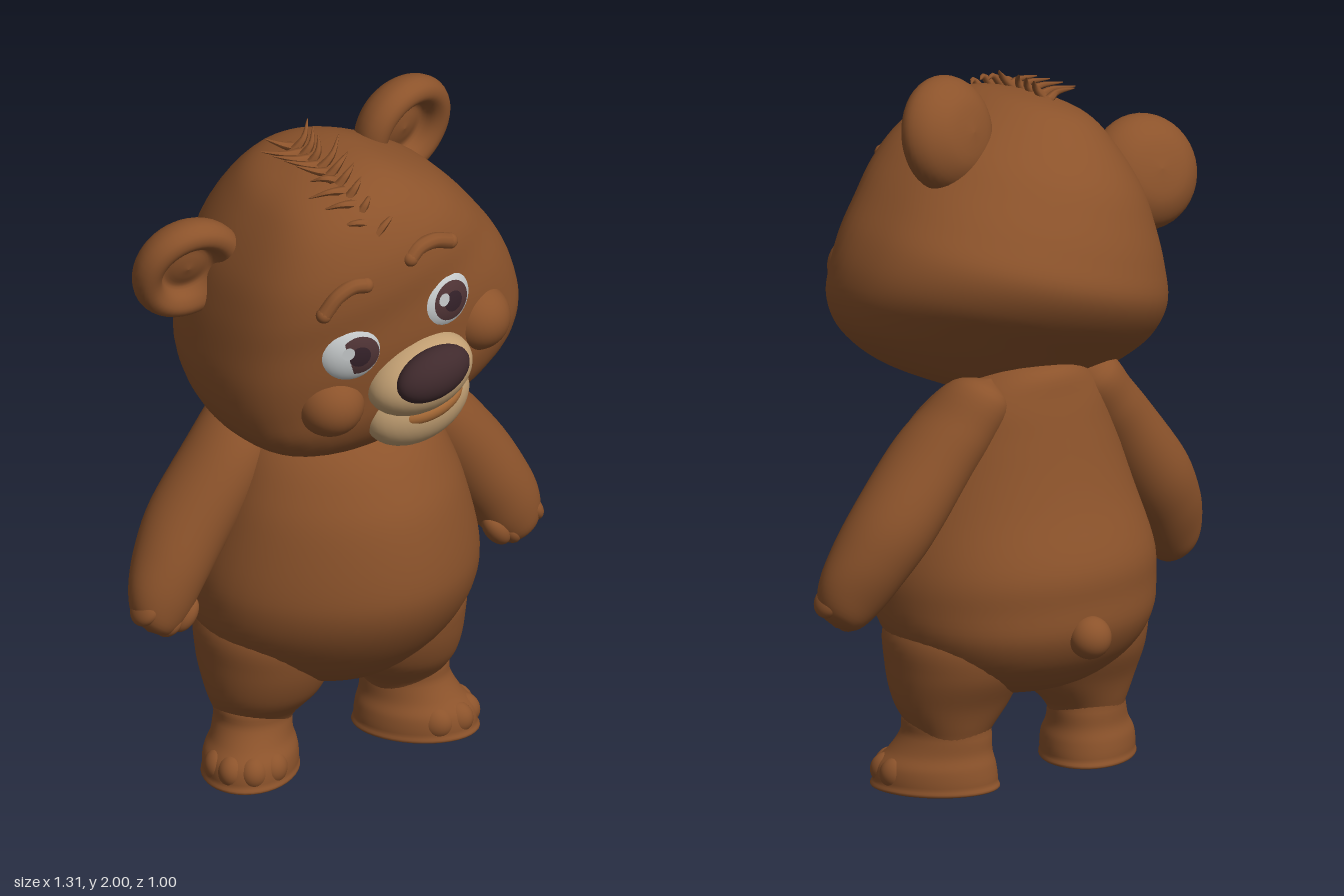
import * as THREE from 'three';

const mat = (name, color) => {
  const m = new THREE.MeshStandardMaterial({ color });
  m.name = name;
  return m;
};

// Closed loft through rings [y, cx, cz, rx, rz], listed from bottom to top;
// front and back widen (+) or narrow (-) each half of the ellipse
function loft(rings, { rows = 40, cols = 40, front = 0, back = 0 } = {}) {
  const centre = new THREE.CatmullRomCurve3(rings.map(r => new THREE.Vector3(r[1], r[0], r[2])), false, 'catmullrom');
  const radius = new THREE.CatmullRomCurve3(rings.map(r => new THREE.Vector3(r[3], 0, r[4])), false, 'catmullrom');
  const pos = [], idx = [];
  for (let i = 0; i <= rows; i++) {
    const c = centre.getPoint(i / rows), r = radius.getPoint(i / rows);
    for (let j = 0; j < cols; j++) {
      const a = (j / cols) * Math.PI * 2, s = Math.sin(a);
      const widen = 1 + (s > 0 ? front : back) * s * s;
      pos.push(c.x + Math.max(r.x, 1e-4) * Math.cos(a) * widen, c.y, c.z + Math.max(r.z, 1e-4) * s);
      if (i === rows) continue;
      const p = i * cols + j, q = i * cols + (j + 1) % cols;
      idx.push(p, p + cols, q, q, p + cols, q + cols);
    }
  }
  const g = new THREE.BufferGeometry();
  g.setAttribute('position', new THREE.Float32BufferAttribute(pos, 3));
  g.setIndex(idx);
  g.computeVertexNormals();
  return g;
}

export function createModel() {
  const fur = mat('brown fur', 0x8c532b);
  const cream = mat('cream muzzle', 0xc4a174);
  const noseMat = mat('dark nose', 0x402a2d);
  const mouthMat = mat('orange mouth', 0xb0703a);
  const white = mat('eye white', 0xc6cacb);
  const irisMat = mat('brown iris', 0x503436);
  const pupilMat = mat('dark pupil', 0x35222a);

  const bear = new THREE.Group();
  bear.name = 'bear';
  const add = (parent, name, geo, material, p = [0, 0, 0]) => {
    const m = new THREE.Mesh(geo, material);
    m.name = name;
    m.position.set(...p);
    parent.add(m);
    return m;
  };
  const group = (parent, name, p) => {
    const g = new THREE.Group();
    g.name = name;
    g.position.set(...p);
    parent.add(g);
    return g;
  };
  const ball = (parent, name, material, p, s) =>
    add(parent, name, new THREE.SphereGeometry(1, 32, 24).scale(...s), material, p);

  // Torso and tail
  add(bear, 'body', loft([
    [0.25, 0, -0.1, 0, 0], [0.275, 0, -0.1, 0.19, 0.17], [0.35, 0, -0.1, 0.325, 0.275],
    [0.45, 0, -0.09, 0.393, 0.347], [0.55, 0, -0.07, 0.411, 0.375], [0.65, 0, -0.065, 0.403, 0.378],
    [0.8, 0, -0.05, 0.36, 0.34], [0.9, 0, -0.055, 0.325, 0.305], [1, 0, -0.075, 0.285, 0.26],
    [1.1, 0, -0.12, 0.23, 0.19], [1.18, 0, -0.17, 0.12, 0.11], [1.2, 0, -0.18, 0, 0],
  ], { rows: 55, cols: 48, front: -0.13, back: 0.08 }), fur);
  ball(bear, 'tail', fur, [0.01, 0.46, -0.445], [0.06, 0.06, 0.058]);

  for (const s of [1, -1]) {
    const side = s > 0 ? 'left' : 'right';

    // Leg
    add(bear, side + 'Leg', loft([
      [0.08, s * 0.24, -0.11, 0, 0], [0.1, s * 0.24, -0.11, 0.08, 0.08], [0.17, s * 0.233, -0.11, 0.115, 0.112],
      [0.25, s * 0.217, -0.095, 0.165, 0.16], [0.35, s * 0.21, -0.1, 0.186, 0.205],
      [0.45, s * 0.205, -0.1, 0.187, 0.215], [0.55, s * 0.18, -0.1, 0.14, 0.16], [0.6, s * 0.18, -0.1, 0, 0],
    ]), fur);

    // Flat-soled foot turned outward, with softly marked toes
    const foot = group(bear, side + 'Foot', [s * 0.265, 0, -0.083]);
    foot.rotation.y = s * 0.75;
    add(foot, side + 'FootPad', loft([
      [0, 0, 0, 0, 0], [0, 0, 0, 0.122, 0.164], [0.025, 0, 0, 0.131, 0.173], [0.07, 0, -0.002, 0.128, 0.166],
      [0.11, 0, -0.015, 0.113, 0.143], [0.16, 0, -0.03, 0.107, 0.126], [0.22, 0, -0.03, 0.1, 0.11], [0.26, 0, -0.03, 0, 0],
    ]), fur);
    [-0.95, -0.35, 0.25, 0.8].forEach((a, i) =>
      ball(foot, side + 'Toe' + (i + 1), fur, [s * 0.095 * Math.sin(a), 0.05, 0.122 * Math.cos(a) + 0.008], [0.042, 0.048, 0.05]));

    // Arm hanging outward, with a blunt mitten hand, finger bumps and thumb
    const arm = group(bear, side + 'Arm', [s * 0.2, 1.1, -0.15]);
    arm.rotation.z = s * 0.61;
    add(arm, side + 'ArmLimb', loft([
      [-0.715, -s * 0.01, 0.08, 0, 0], [-0.695, -s * 0.005, 0.08, 0.06, 0.055], [-0.63, 0.005 * s, 0.07, 0.096, 0.084],
      [-0.53, s * 0.015, 0.05, 0.109, 0.109], [-0.4, s * 0.017, 0.03, 0.116, 0.124], [-0.2, s * 0.008, 0.02, 0.11, 0.128],
      [-0.08, 0, 0, 0.1, 0.12], [0.03, 0, -0.03, 0.08, 0.09], [0.08, 0, -0.04, 0, 0],
    ]), fur);
    [-0.045, 0, 0.045].forEach((x, i) =>
      ball(arm, side + 'Finger' + (i + 1), fur, [x, -0.66, 0.088], [0.03, 0.05, 0.052]));
    ball(arm, side + 'Thumb', fur, [-s * 0.07, -0.625, 0.105], [0.033, 0.055, 0.038]);
  }

  // Head, tipped to one side, full in the face
  const head = group(bear, 'head', [-0.02, 1.42, 0]);
  head.rotation.z = 0.297;
  add(head, 'skull', loft([
    [-0.365, 0, 0.06, 0, 0], [-0.335, 0, 0.06, 0.22, 0.16], [-0.27, 0, 0.045, 0.375, 0.245],
    [-0.19, 0, 0.015, 0.448, 0.315], [-0.1, 0, -0.03, 0.473, 0.375], [0, 0, -0.052, 0.465, 0.41],
    [0.1, 0, -0.041, 0.43, 0.401], [0.2, 0, -0.018, 0.383, 0.384], [0.3, 0, 0, 0.32, 0.348],
    [0.4, 0, 0.02, 0.222, 0.272], [0.46, 0, 0.02, 0.13, 0.17], [0.485, 0, 0.02, 0, 0],
  ], { rows: 60, cols: 56, front: 0.32 }), fur);

  // Muzzle, nose and open mouth
  ball(head, 'upperMuzzle', cream, [0, -0.108, 0.348], [0.16, 0.1, 0.122]);
  ball(head, 'lowerJaw', cream, [-0.01, -0.222, 0.295], [0.163, 0.115, 0.1]);
  ball(head, 'mouth', mouthMat, [0, -0.21, 0.343], [0.11, 0.048, 0.063]);
  ball(head, 'nose', noseMat, [0.002, -0.07, 0.438], [0.114, 0.071, 0.062]);

  // Front cap of a unit sphere, for the layers of the eye
  const cap = (angle, size) => new THREE.SphereGeometry(1, 28, 10, 0, Math.PI * 2, 0, angle)
    .rotateX(Math.PI / 2).scale(0.1 * size, 0.095 * size, 0.06 * size);

  // Dished round ear profile with a thick rim
  const earProfile = new THREE.SplineCurve([
    [0, -0.085], [0.085, -0.072], [0.14, -0.033], [0.161, 0.015], [0.149, 0.053], [0.12, 0.064],
    [0.092, 0.048], [0.072, 0.015], [0.035, 0.02], [0, 0.026],
  ].map(p => new THREE.Vector2(...p))).getPoints(36).map(p => new THREE.Vector2(Math.max(p.x, 0), p.y));

  for (const s of [1, -1]) {
    const side = s > 0 ? 'left' : 'right';
    ball(head, side + 'Cheek', fur, [s * 0.245, -0.1, 0.265], [0.096, 0.094, 0.1]);

    // Eye
    const eye = group(head, side + 'Eye', [s * 0.152 - 0.009, 0.052, 0.304]);
    eye.rotation.y = s * 0.2;
    ball(eye, side + 'Eyeball', white, [0, 0, 0], [0.1, 0.095, 0.06]);
    const iris = group(eye, side + 'Gaze', [s > 0 ? 0 : 0.014, 0, 0]);
    add(iris, side + 'Iris', cap(0.62, 1.03), irisMat);
    add(iris, side + 'Pupil', cap(0.3, 1.06), pupilMat);
    add(iris, side + 'Glint', new THREE.CircleGeometry(0.019, 16), white, [-0.03, 0.026, 0.065]);

    // Eyebrow
    const browPath = new THREE.CatmullRomCurve3([[0.075, 0.243, 0.353], [0.11, 0.256, 0.348], [0.16, 0.248, 0.342], [0.212, 0.212, 0.333]]
      .map(([x, y, z]) => new THREE.Vector3(s * x, y, z)));
    add(head, side + 'Brow', new THREE.TubeGeometry(browPath, 20, 0.022, 10), fur);
    for (const t of [0, 1]) ball(head, side + 'BrowEnd', fur, browPath.getPoint(t).toArray(), [0.022, 0.022, 0.022]);

    // Ear
    const ear = add(head, side + 'Ear', new THREE.LatheGeometry(earProfile, 40).rotateX(Math.PI / 2), fur,
      s > 0 ? [0.34, 0.342, -0.075] : [-0.397, 0.32, -0.055]);
    ear.rotation.set(0.28, s * 0.18, 0);
  }

  // Tuft of thin locks running from crown to forehead
  const tuft = group(head, 'hairTuft', [0.01, 0, 0]);
  for (let i = 0; i < 18; i++) {
    const z = -0.06 + i * 0.022, dir = i % 2 ? 1 : -1;
    const y = 0.485 * Math.cbrt(1 - Math.abs(z / 0.365) ** 3.2);
    const reach = 0.055 + 0.04 * ((i * 7) % 5) / 4;
    const lock = new THREE.CatmullRomCurve3([
      new THREE.Vector3(0, y - 0.012, z),
      new THREE.Vector3(dir * reach * 0.45, y + 0.012, z + 0.005),
      new THREE.Vector3(dir * reach, y + 0.005 + (z < 0.12 ? 0.03 : 0), z - 0.03),
    ]);
    const g = new THREE.TubeGeometry(lock, 8, 0.015, 6);
    const pos = g.attributes.position;
    // taper each lock towards its tip
    for (let k = 0; k < pos.count; k++) {
      const t = Math.floor(k / 7) / 8, c = lock.getPointAt(t);
      const v = new THREE.Vector3().fromBufferAttribute(pos, k).sub(c).multiplyScalar(1 - 0.9 * t).add(c);
      pos.setXYZ(k, v.x, v.y, v.z);
    }
    g.computeVertexNormals();
    add(tuft, 'lock' + (i + 1), g, fur);
  }
  return bear;
}
